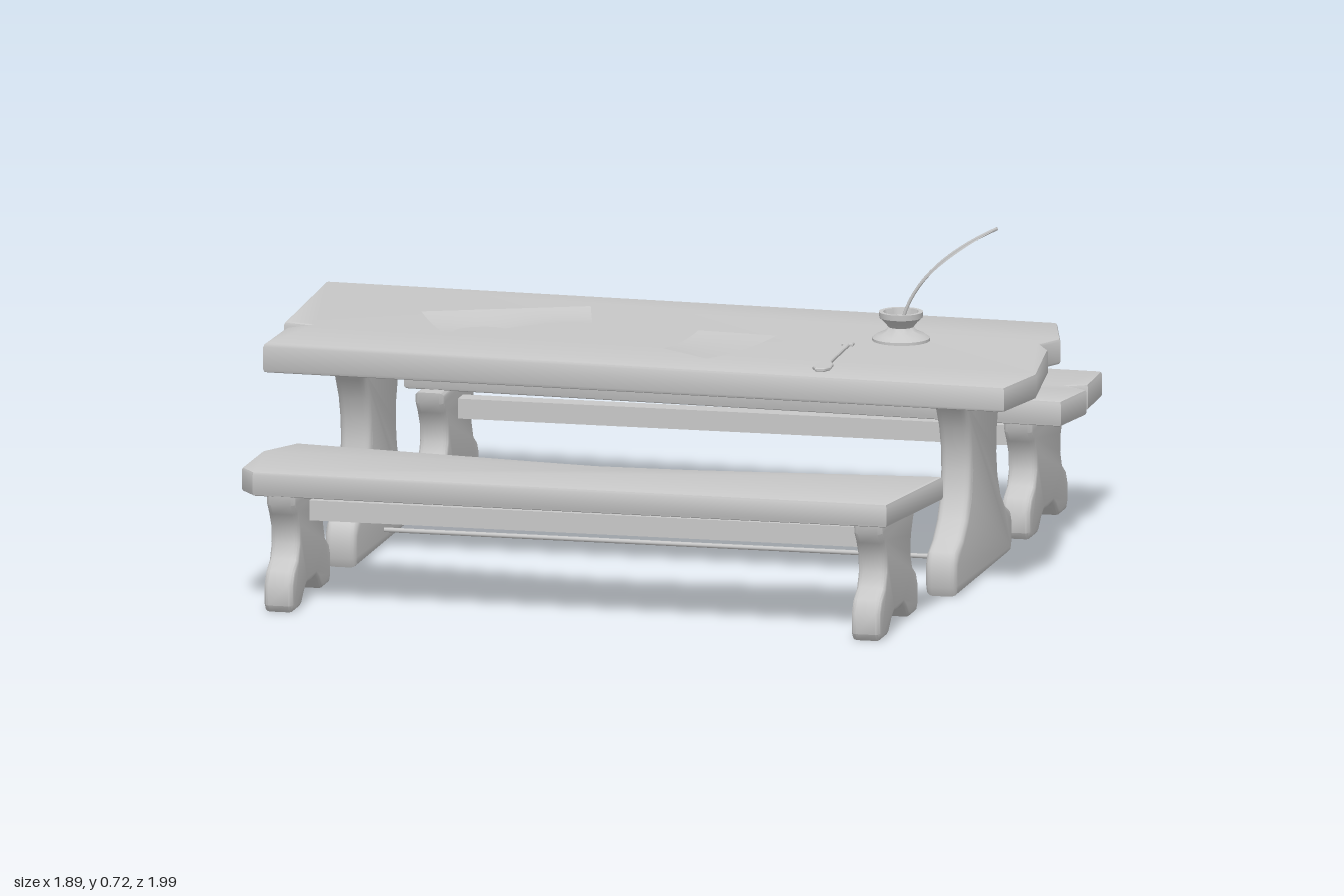
import * as THREE from 'three';
import { toCreasedNormals } from 'three/addons/utils/BufferGeometryUtils.js';

const YAW = 0.641; // the whole set stands turned on its base
const grey = new THREE.MeshStandardMaterial({ color: 0xc8c8c8, side: THREE.DoubleSide });
grey.name = 'plain grey';

const tableTopY = (x) => 0.476 - 0.01 * x;

function add(parent, name, geometry) {
  const mesh = new THREE.Mesh(geometry, grey);
  mesh.name = name;
  parent.add(mesh);
  return mesh;
}

// Extrudes an outline with a bevel that stays inside the outline and depth
function bevelled(points, depth, bevel, segments = 2) {
  const shape = new THREE.Shape(points.map(([x, y]) => new THREE.Vector2(x, y)));
  return new THREE.ExtrudeGeometry(shape, {
    depth: depth - 2 * bevel, bevelEnabled: true, bevelSize: bevel,
    bevelThickness: bevel, bevelOffset: -bevel, bevelSegments: segments,
  }).translate(0, 0, bevel);
}

// Flat plank from an (x, z) outline; the top slopes down slightly toward +x
function plank(outline, bottom, top, slope) {
  const geo = bevelled(outline.map(([x, z]) => [x, -z]), top - bottom, 0.007);
  geo.rotateX(-Math.PI / 2).translate(0, bottom, 0);
  const p = geo.attributes.position;
  for (let i = 0; i < p.count; i++) {
    const t = (p.getY(i) - bottom) / (top - bottom);
    p.setY(i, p.getY(i) + slope * p.getX(i) * (0.3 + 0.7 * t));
  }
  return toCreasedNormals(geo, 0.6);
}

// Trestle board: mirrored half profile of (half width, height), ordered upward
function trestle(half, thickness, bevel) {
  const mirrored = half.map(([w, y]) => [-w, y]).reverse().filter(([w]) => w !== 0);
  const geo = bevelled([...half, ...mirrored], thickness, bevel, 3);
  geo.translate(0, 0, -thickness / 2).rotateY(Math.PI / 2);
  return toCreasedNormals(geo, 0.7);
}

// Curved sheet spanning four (x, z) corners lying on the table
function sheet(a, b, c, d, lift) {
  const geo = new THREE.PlaneGeometry(1, 1, 10, 10);
  const p = geo.attributes.position;
  for (let i = 0; i < p.count; i++) {
    const s = p.getX(i) + 0.5, t = p.getY(i) + 0.5;
    const mix = (k) => (a[k] * (1 - s) + b[k] * s) * (1 - t) + (d[k] * (1 - s) + c[k] * s) * t;
    p.setXYZ(i, mix(0), tableTopY(mix(0)) + lift(s, t), mix(1));
  }
  geo.computeVertexNormals();
  return geo;
}

export function createModel() {
  const model = new THREE.Group();
  model.name = 'writingTableWithBenches';

  // Table top and bench seats with chipped ends
  add(model, 'tableTop', plank([
    [-0.837, 0.224], [-0.578, 0.552], [-0.525, 0.525], [-0.535, 0.583], [-0.44, 0.722],
    [0.84, -0.206], [0.775, -0.347], [0.604, -0.52], [0.55, -0.545], [0.536, -0.61], [0.41, -0.706],
  ], 0.417, 0.476, -0.01));
  add(model, 'frontBenchSeat', plank([
    [-0.314, 0.737], [-0.298, 0.842], [-0.198, 0.98], [-0.145, 0.995], [0.94, 0.193],
    [0.794, -0.08], [0.404, 0.283], [0.256, 0.404], [0.17, 0.455],
  ], 0.24, 0.292, -0.003));
  add(model, 'backBenchSeat', plank([
    [-0.947, -0.204], [-0.778, 0.064], [0.384, -0.737], [0.325, -0.855], [0.272, -0.85],
    [0.288, -0.89], [0.203, -0.998], [-0.224, -0.685],
  ], 0.243, 0.3, -0.008));

  const base = new THREE.Group();
  base.name = 'supports';
  base.rotation.y = YAW;
  model.add(base);

  // Table legs: broad foot, curved waist, flared head
  const tableLeg = trestle([
    [0.238, 0], [0.248, 0.02], [0.248, 0.07], [0.235, 0.092], [0.19, 0.112], [0.15, 0.145],
    [0.125, 0.19], [0.115, 0.24], [0.118, 0.285], [0.135, 0.335], [0.165, 0.38], [0.21, 0.422],
  ], 0.068, 0.014);
  for (const u of [-0.637, 0.64]) add(base, 'tableLeg', tableLeg).position.set(u, 0, 0);
  add(base, 'tableRod', new THREE.CylinderGeometry(0.005, 0.005, 1.25, 8).rotateZ(Math.PI / 2))
    .position.set(0, 0.033, 0);

  // Bench legs: arched feet, pinched waist, flared head
  const benchLeg = trestle([
    [0, 0.036], [0.04, 0.038], [0.062, 0.026], [0.085, 0.005], [0.1, 0], [0.158, 0],
    [0.17, 0.015], [0.17, 0.06], [0.155, 0.085], [0.122, 0.105], [0.108, 0.135],
    [0.112, 0.17], [0.13, 0.2], [0.148, 0.222], [0.15, 0.246],
  ], 0.062, 0.01);
  for (const [side, v, u0, u1] of [['front', 0.558, -0.653, 0.596], ['back', -0.529, -0.6, 0.652]]) {
    for (const u of [u0, u1]) add(base, side + 'BenchLeg', benchLeg).position.set(u, 0, v);
    add(base, side + 'BenchStretcher', new THREE.BoxGeometry(u1 - u0, 0.042, 0.045))
      .position.set((u0 + u1) / 2, 0.189, v);
  }

  // Loose papers with curled edges
  add(model, 'leftPaper', sheet([-0.25, 0], [-0.425, 0.31], [-0.3, 0.36], [-0.172, 0.06],
    (s, t) => 0.002 + 0.014 * (1 - t) ** 2 + 0.004 * Math.sin(s * Math.PI * 2) * t));
  add(model, 'rightPaper', sheet([0.05, -0.04], [0.19, -0.135], [0.275, 0.125], [0.14, 0.13],
    (s, t) => 0.003 + 0.007 * (2 * t - 1) ** 2));

  // Letter knife with a rounded handle
  const knife = bevelled([
    [-0.14, -0.012], [-0.125, -0.012], [-0.12, -0.006], [0.06, -0.007], [0.085, -0.017],
    [0.12, -0.019], [0.137, -0.01], [0.137, 0.01], [0.12, 0.019], [0.085, 0.017],
    [0.06, 0.007], [-0.12, 0.006], [-0.125, 0.012], [-0.14, 0.012],
  ], 0.008, 0.002, 1).rotateX(-Math.PI / 2).rotateY(-0.91);
  add(model, 'letterKnife', toCreasedNormals(knife, 0.6)).position.set(0.4, 0.471, -0.115);

  // Ink pot with a hollow cup
  const pot = new THREE.LatheGeometry([
    [0, 0], [0.06, 0], [0.06, 0.007], [0.05, 0.014], [0.032, 0.022], [0.026, 0.03], [0.034, 0.04],
    [0.045, 0.05], [0.046, 0.062], [0.037, 0.062], [0.034, 0.048], [0, 0.035],
  ].map(([r, y]) => new THREE.Vector2(r, y)), 24);
  add(model, 'inkPot', toCreasedNormals(pot, 0.7)).position.set(0.345, 0.471, -0.34);

  // Quill: a bent shaft with a pointed vane
  const spine = new THREE.QuadraticBezierCurve3(
    new THREE.Vector3(0.345, 0.5, -0.34), new THREE.Vector3(0.365, 0.63, -0.355),
    new THREE.Vector3(0.503, 0.716, -0.468));
  add(model, 'quillShaft', new THREE.TubeGeometry(spine, 16, 0.0035, 6));
  const vane = new THREE.PlaneGeometry(1, 1, 4, 16);
  const p = vane.attributes.position;
  for (let i = 0; i < p.count; i++) {
    const t = p.getY(i) + 0.5;
    const c = spine.getPoint(0.3 + 0.7 * t);
    const w = p.getX(i) * 0.062 * Math.sin(Math.PI * t ** 0.8) ** 0.75;
    p.setXYZ(i, c.x + 0.63 * w, c.y - 0.15 * Math.abs(w), c.z + 0.77 * w);
  }
  vane.computeVertexNormals();
  add(model, 'quillVane', vane);

  return model;
}
